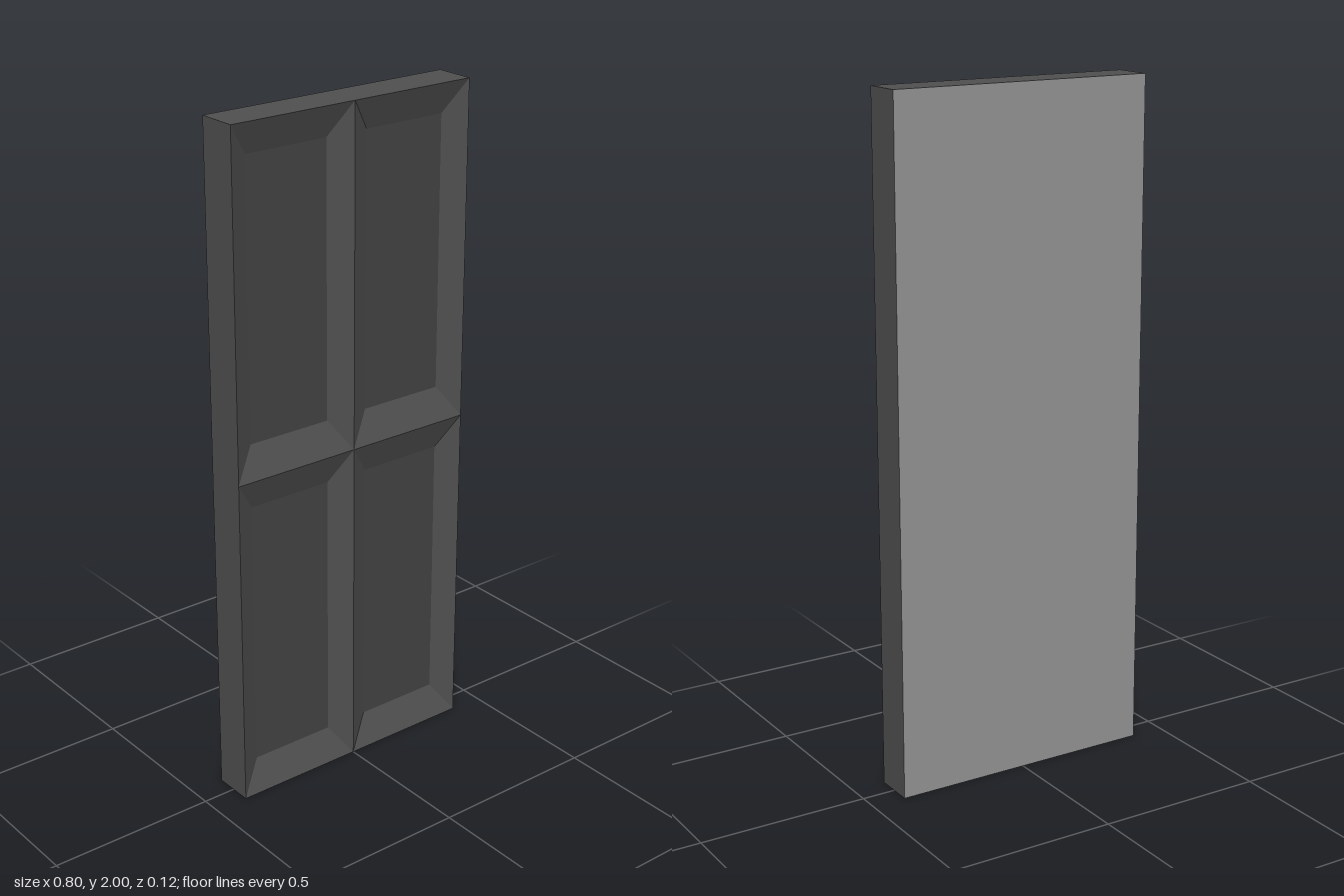
import * as THREE from 'three';

const W = 0.8, H = 2, FRONT = 0.061;                  // overall width, height, half thickness
const INSET_X = 0.068, INSET_Y = 0.095, DEPTH = 0.036; // bevel widths and recess depth

const material = (color) => new THREE.MeshStandardMaterial({ color, flatShading: true });

// Rectangle corners, counter-clockwise seen from the front
const rect = (cx, cy, w, h, z) =>
  [[-1, -1], [1, -1], [1, 1], [-1, 1]].map(([sx, sy]) => [cx + sx * w / 2, cy + sy * h / 2, z]);

// Four flat faces joining one rectangle to the next
function band(a, b) {
  const points = [];
  for (let i = 0; i < 4; i++) {
    const j = (i + 1) % 4;
    points.push(a[i], a[j], b[j], a[i], b[j], b[i]);
  }
  const geometry = new THREE.BufferGeometry();
  geometry.setAttribute('position', new THREE.Float32BufferAttribute(points.flat(), 3));
  geometry.computeVertexNormals();
  return geometry;
}

export function createModel() {
  const door = new THREE.Group();
  door.name = 'panelledDoor';
  const frameMaterial = material(0x505050);
  const panelMaterial = material(0x444444);
  const backMaterial = material(0x959595);

  const add = (name, geometry, mat, x = 0, y = 0, z = 0) => {
    const mesh = new THREE.Mesh(geometry, mat);
    mesh.name = name;
    mesh.position.set(x, y, z);
    door.add(mesh);
    return mesh;
  };

  // Outer edges and plain back
  add('doorEdges', band(rect(0, H / 2, W, H, -FRONT), rect(0, H / 2, W, H, FRONT)), frameMaterial);
  add('doorBack', new THREE.PlaneGeometry(W, H), backMaterial, 0, H / 2, -FRONT).rotation.y = Math.PI;

  // Two by two recessed panels, their bevels meeting in sharp ridges
  const w = W / 2, h = H / 2;
  const innerW = w - 2 * INSET_X, innerH = h - 2 * INSET_Y;
  for (const [row, rowName] of ['lower', 'upper'].entries()) {
    for (const [col, colName] of ['Right', 'Left'].entries()) {
      const x = (col - 0.5) * w, y = (row + 0.5) * h;
      const bevel = band(rect(0, 0, w, h, 0), rect(0, 0, innerW, innerH, -DEPTH));
      add(`${rowName}${colName}Bevel`, bevel, frameMaterial, x, y, FRONT);
      add(`${rowName}${colName}Panel`, new THREE.PlaneGeometry(innerW, innerH), panelMaterial, x, y, FRONT - DEPTH);
    }
  }
  return door;
}
